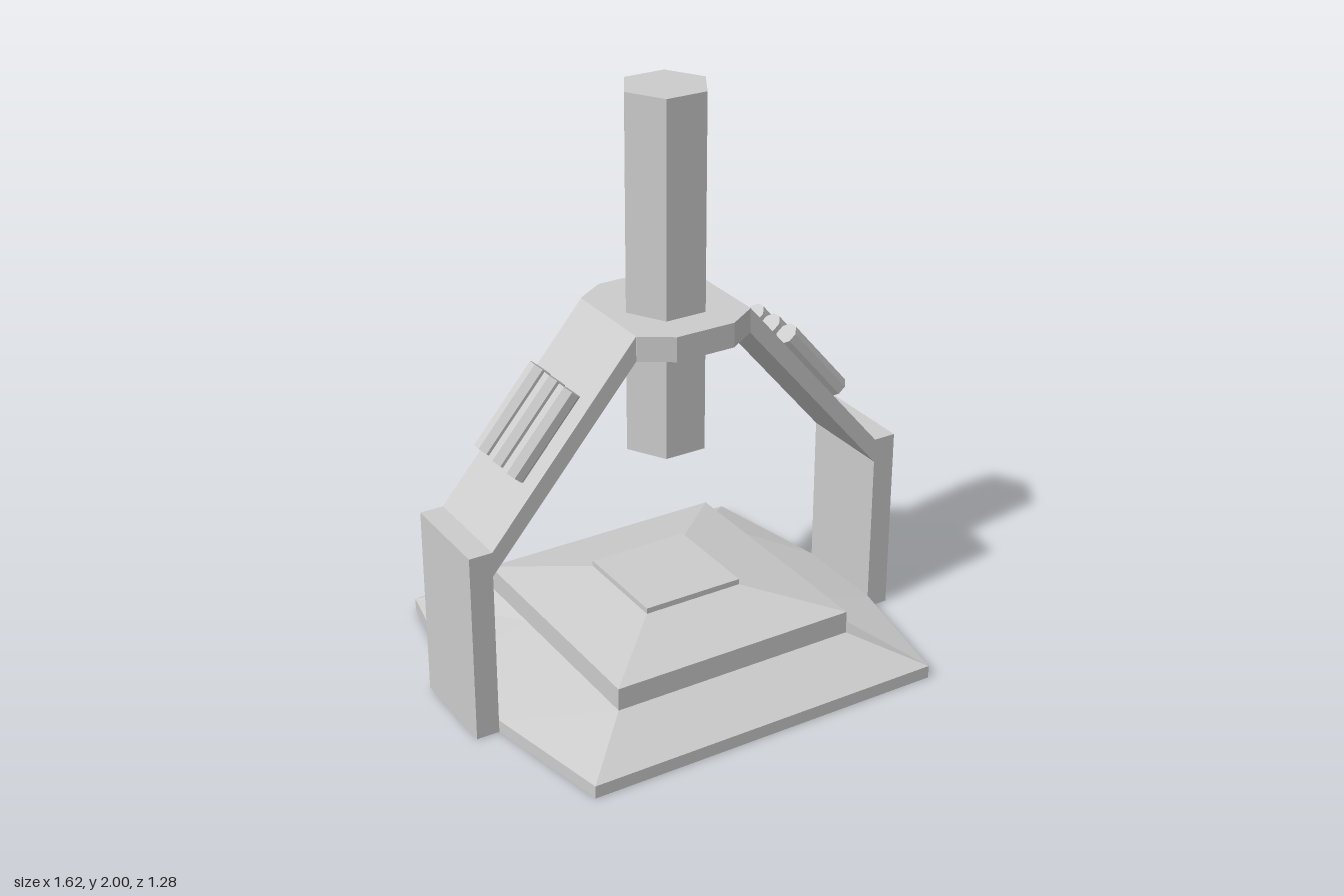
import * as THREE from 'three';

const material = new THREE.MeshStandardMaterial({ color: 0xcccccc, flatShading: true });

function addMesh(parent, name, geometry) {
  const mesh = new THREE.Mesh(geometry, material);
  mesh.name = name;
  parent.add(mesh);
  return mesh;
}

function extrude(points, depth) {
  const shape = new THREE.Shape(points.map(([x, y]) => new THREE.Vector2(x, y)));
  return new THREE.ExtrudeGeometry(shape, { depth, bevelEnabled: false });
}

// Stacked eight-point sections: [y, corner half-width, middle half-width, middle half-depth]
function steppedGeometry(sections) {
  const positions = [];
  const rings = sections.map(([y, c, m, d]) =>
    [[c, c], [m, d], [m, -d], [c, -c], [-c, -c], [-m, -d], [-m, d], [-c, c]].map(([x, z]) => [x, y, z]));
  const triangle = (a, b, c) => positions.push(...a, ...b, ...c);
  for (let r = 0; r < rings.length - 1; r++) {
    for (let i = 0; i < 8; i++) {
      const j = (i + 1) % 8;
      const [a, b, c, d] = [rings[r][i], rings[r][j], rings[r + 1][j], rings[r + 1][i]];
      triangle(a, b, c);
      triangle(a, c, d);
    }
  }
  const bottom = rings[0];
  const top = rings[rings.length - 1];
  for (let i = 1; i < 7; i++) {
    triangle(top[0], top[i], top[i + 1]);
    triangle(bottom[0], bottom[i + 1], bottom[i]);
  }
  const geometry = new THREE.BufferGeometry();
  geometry.setAttribute('position', new THREE.Float32BufferAttribute(positions, 3));
  geometry.computeVertexNormals();
  return geometry;
}

export function createModel() {
  const model = new THREE.Group();
  model.name = 'pressStand';

  // Stepped base with a widened footprint at the legs
  addMesh(model, 'base', steppedGeometry([
    [0, 0.64, 0.73, 0.175],
    [0.045, 0.64, 0.73, 0.175],
    [0.135, 0.44, 0.44, 0.175],
    [0.215, 0.44, 0.44, 0.175],
    [0.27, 0.18, 0.18, 0.07],
  ]));
  addMesh(model, 'basePlate', new THREE.BoxGeometry(0.36, 0.03, 0.36)).position.y = 0.275;

  // Eight-sided hub
  const hub = extrude([
    [0.21, 0.175], [0.105, 0.243], [-0.105, 0.243], [-0.21, 0.175],
    [-0.21, -0.175], [-0.105, -0.243], [0.105, -0.243], [0.21, -0.175],
  ], 0.085);
  hub.rotateX(-Math.PI / 2);
  addMesh(model, 'hub', hub).position.y = 1.19;

  // Hexagonal column through the hub
  const column = new THREE.CylinderGeometry(0.145, 0.145, 1.21, 6);
  column.rotateY(Math.PI / 2);
  addMesh(model, 'column', column).position.y = 1.395;

  // Bent arm with three rods, repeated on both sides
  const armGeometry = extrude([
    [0.21, 1.275], [0.21, 1.19], [0.73, 0.58], [0.73, 0],
    [0.81, 0], [0.81, 0.665], [0.73, 0.665],
  ], 0.345);
  armGeometry.translate(0, 0, -0.1725);
  const rodGeometry = new THREE.CylinderGeometry(0.04, 0.04, 0.32, 8);
  rodGeometry.rotateY(Math.PI / 8);
  for (const [side, turn] of [['left', 0], ['right', Math.PI]]) {
    const arm = new THREE.Group();
    arm.name = side + 'Arm';
    arm.rotation.y = turn;
    addMesh(arm, side + 'Leg', armGeometry);
    for (const z of [-0.095, 0, 0.095]) {
      const rod = addMesh(arm, side + 'Rod', rodGeometry);
      rod.position.set(0.508, 0.987, z);
      rod.rotation.z = Math.atan2(0.52, 0.61);
    }
    model.add(arm);
  }
  return model;
}
